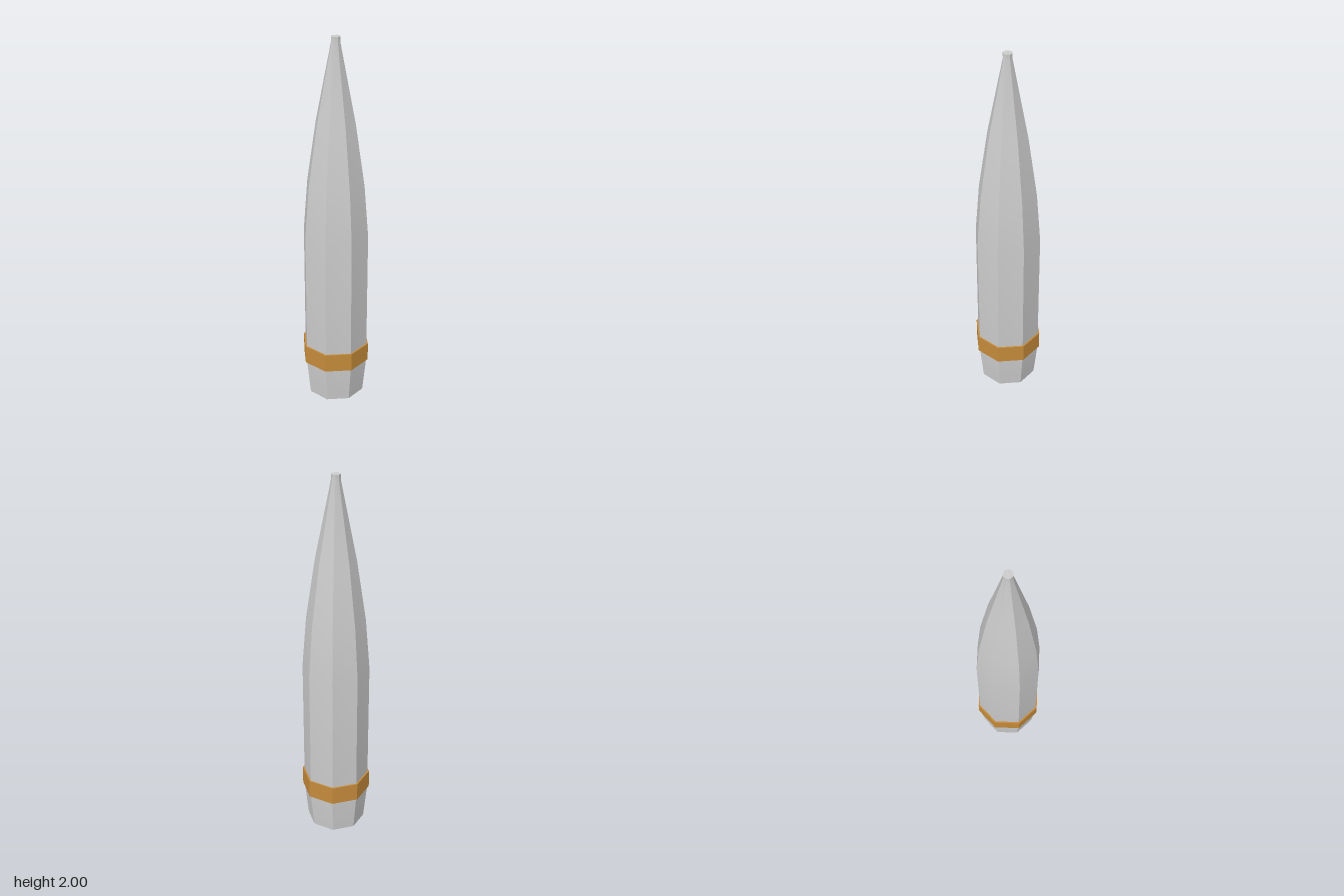
import * as THREE from 'three';
import { toCreasedNormals } from 'three/addons/utils/BufferGeometryUtils.js';

const SIDES = 8;

// Eight-sided turned part: smooth along its length, sharp between facets
function turned(name, profile, color) {
  const points = profile.map(([r, y]) => new THREE.Vector2(r, y));
  const geometry = toCreasedNormals(new THREE.LatheGeometry(points, SIDES), Math.PI / 6);
  const mesh = new THREE.Mesh(geometry, new THREE.MeshStandardMaterial({ color }));
  mesh.name = name;
  return mesh;
}

export function createModel() {
  const group = new THREE.Group();
  group.name = 'shell';

  // Tapered tail, straight body, curved nose and small blunt tip
  group.add(turned('body', [
    [0, 0], [0.157, 0], [0.177, 0.2], [0.177, 0.96],
    [0.154, 1.24], [0.105, 1.565], [0.024, 1.97], [0.024, 2], [0, 2],
  ], 0xcccccc));

  // Copper-coloured band standing slightly proud of the body
  group.add(turned('drivingBand', [
    [0.17, 0.203], [0.186, 0.203], [0.186, 0.305], [0.17, 0.305],
  ], 0xc48a3a));

  return group;
}
